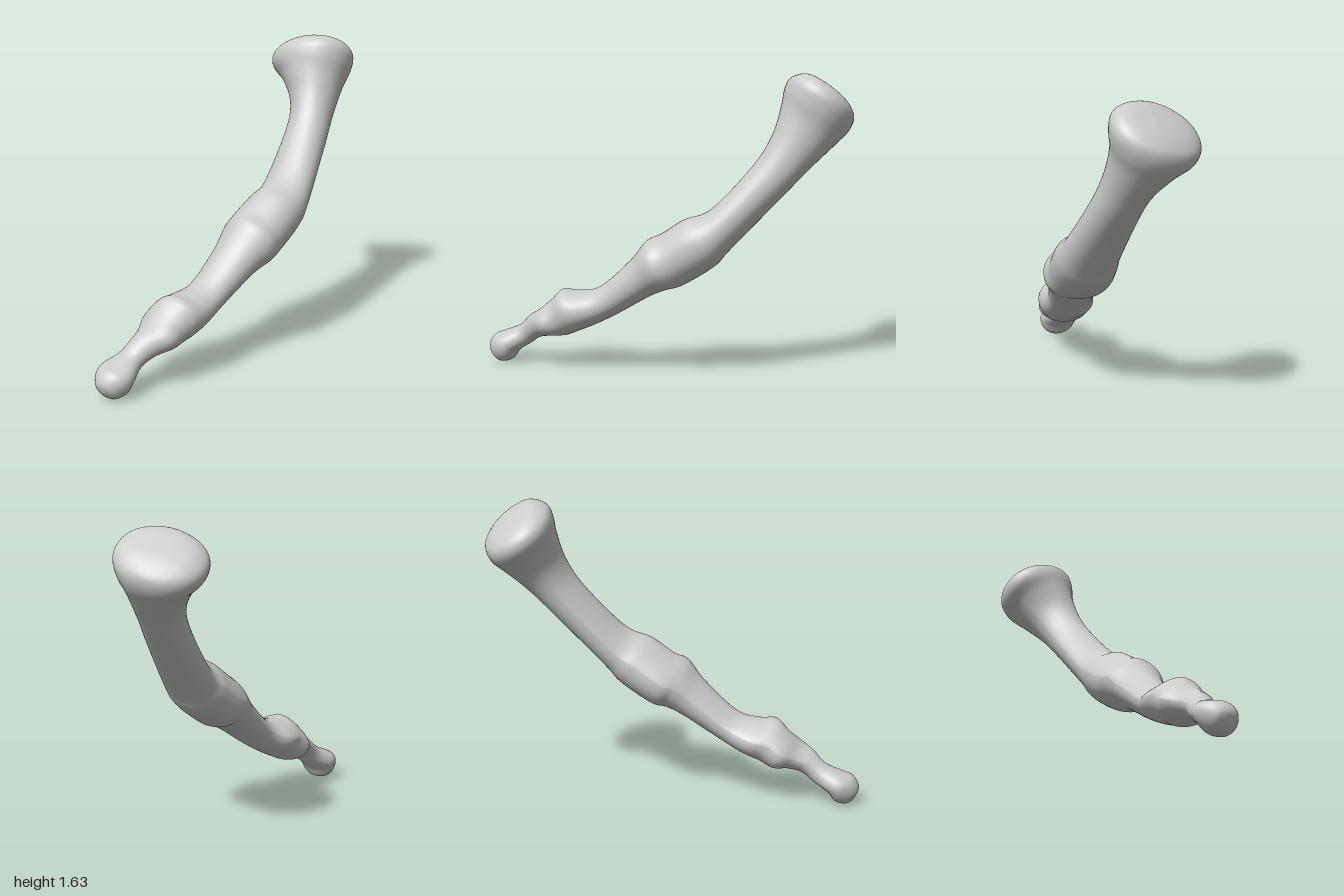
import * as THREE from 'three';
import { mergeVertices } from 'three/addons/utils/BufferGeometryUtils.js';

// Cross-sections from the small tip to the large head:
// [upper edge x, y, lower edge x, y, back z, front z]
const SECTIONS = [
  [-0.985, 0.045, -0.985, 0.045, -0.01, -0.01],
  [-1.0, 0.10, -0.935, 0.005, -0.07, 0.05],
  [-0.97, 0.155, -0.87, 0.018, -0.11, 0.09],
  [-0.91, 0.18, -0.83, 0.07, -0.12, 0.092],
  [-0.82, 0.22, -0.755, 0.12, -0.08, 0.068],
  [-0.75, 0.285, -0.69, 0.165, -0.068, 0.11],
  [-0.685, 0.328, -0.61, 0.185, -0.085, 0.163],
  [-0.62, 0.385, -0.53, 0.19, -0.118, 0.168],
  [-0.55, 0.448, -0.45, 0.225, -0.104, 0.2],
  [-0.46, 0.447, -0.36, 0.265, -0.1, 0.2],
  [-0.33, 0.48, -0.23, 0.335, -0.052, 0.195],
  [-0.15, 0.64, -0.04, 0.45, -0.045, 0.24],
  [-0.06, 0.75, 0.06, 0.495, -0.06, 0.287],
  [0.02, 0.79, 0.14, 0.52, -0.08, 0.28],
  [0.14, 0.87, 0.31, 0.63, -0.06, 0.285],
  [0.29, 0.935, 0.39, 0.72, -0.045, 0.265],
  [0.50, 1.165, 0.66, 1.01, -0.07, 0.19],
  [0.59, 1.32, 0.79, 1.15, -0.11, 0.155],
  [0.625, 1.46, 0.91, 1.27, -0.2, 0.145],
  [0.637, 1.55, 0.975, 1.34, -0.275, 0.163],
  [0.665, 1.605, 1.0, 1.405, -0.292, 0.163],
  [0.73, 1.63, 0.985, 1.46, -0.25, 0.13],
  [0.79, 1.62, 0.94, 1.52, -0.16, 0.07],
  [0.868, 1.572, 0.868, 1.572, -0.04, -0.04],
];

const ROWS = 161;
const SIDES = 48;
const { smoothstep, lerp } = THREE.MathUtils;

// A smooth curve through one pair of columns of the section list
function curveThrough(column) {
  const points = SECTIONS.map((s) => new THREE.Vector3(s[column], s[column + 1], 0));
  return new THREE.CatmullRomCurve3(points, false, 'catmullrom', 0.5);
}

// Powers below 1 square off a circle, powers above 1 flatten it to a bevel
const shaped = (v, power) => Math.sign(v) * Math.pow(Math.abs(v), power);

function loftGeometry() {
  const upper = curveThrough(0);
  const lower = curveThrough(2);
  const depth = curveThrough(4);
  const positions = [];
  const index = [];

  for (let i = 0; i <= ROWS; i++) {
    const t = i / ROWS;
    const u = upper.getPoint(t);
    const l = lower.getPoint(t);
    const d = depth.getPoint(t);
    const centre = u.clone().add(l).multiplyScalar(0.5);
    const half = u.clone().sub(l).multiplyScalar(0.5);
    const axis = new THREE.Vector3(half.y, -half.x, 0).normalize();
    const middle = (d.x + d.y) / 2;
    const reach = (d.y - d.x) / 2;
    const head = smoothstep(t, 0.7, 0.84);
    // The shaft is flattened between its upper and back sides
    const flat = smoothstep(t, 0.14, 0.26) * (1 - head);

    for (let j = 0; j < SIDES; j++) {
      const angle = (j / SIDES) * Math.PI * 2;
      const upperBack = angle > Math.PI * 1.5;
      const power = upperBack ? lerp(0.95, 1.35, flat) : 0.95;
      const side = reach * shaped(Math.sin(angle), power);
      // The back knob of the head sits lower along the shaft
      const skew = head * (side < 0 ? 0.3 : 0.2);
      const p = centre.clone()
        .addScaledVector(half, shaped(Math.cos(angle), power))
        .addScaledVector(axis, skew * side);
      positions.push(p.x, p.y, middle + side);

      if (i < ROWS) {
        const a = i * SIDES + j;
        const b = i * SIDES + ((j + 1) % SIDES);
        if (i > 0) index.push(a, b, a + SIDES);
        if (i < ROWS - 1) index.push(b, b + SIDES, a + SIDES);
      }
    }
  }

  const geometry = new THREE.BufferGeometry();
  geometry.setAttribute('position', new THREE.Float32BufferAttribute(positions, 3));
  geometry.setIndex(index);
  const merged = mergeVertices(geometry, 1e-5);
  merged.computeVertexNormals();
  return merged;
}

export function createModel() {
  const boneGrey = new THREE.MeshStandardMaterial({ color: 0xcccccc });
  boneGrey.name = 'bone grey';

  // Fused finger bones: tip, middle joint, shaft and head in one smooth skin
  const bone = new THREE.Mesh(loftGeometry(), boneGrey);
  bone.name = 'fingerBones';

  const group = new THREE.Group();
  group.name = 'fingerBoneModel';
  group.add(bone);
  return group;
}
